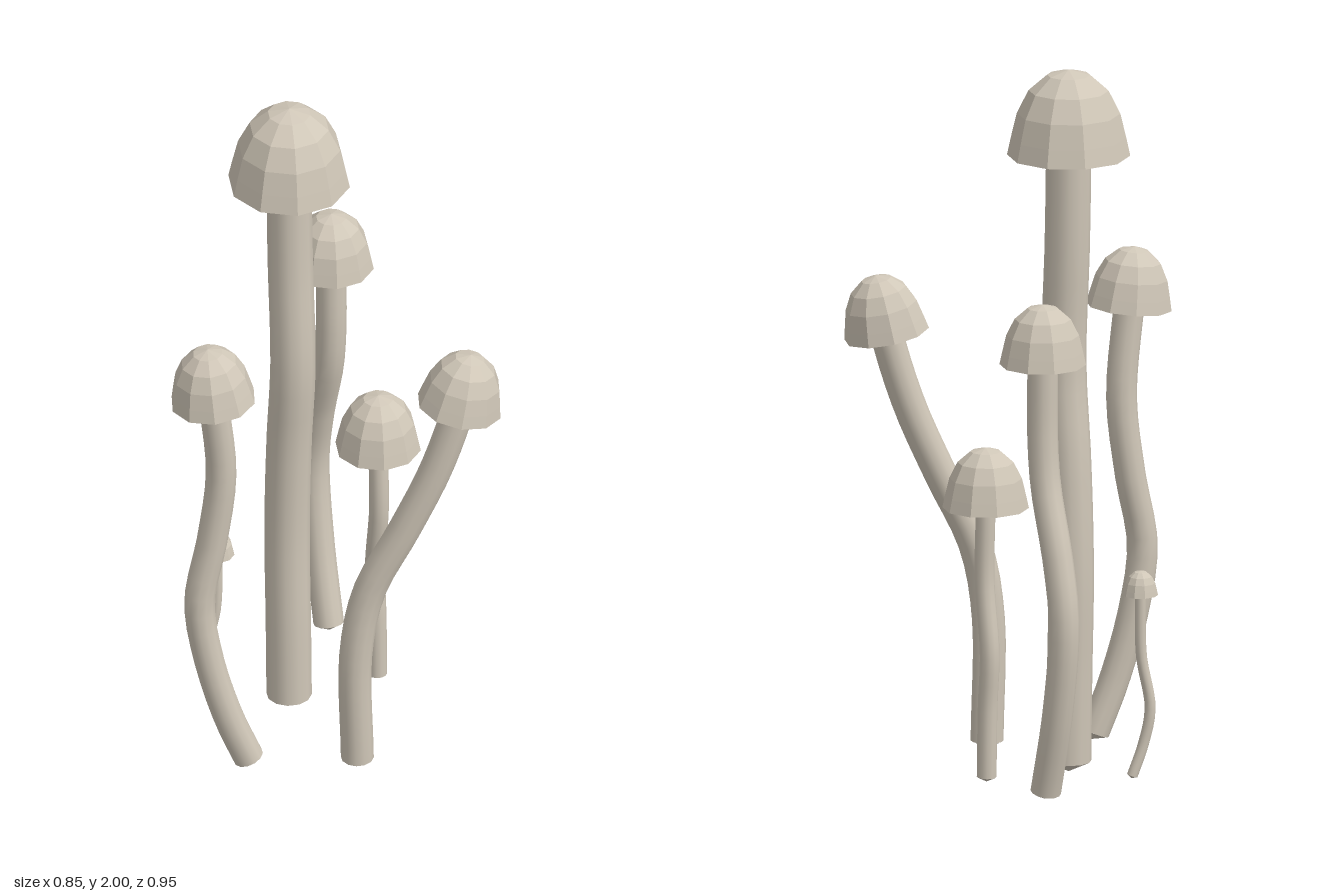
import * as THREE from 'three';
import { mergeGeometries } from 'three/addons/utils/BufferGeometryUtils.js';

const UP = new THREE.Vector3(0, 1, 0);

// Hollow ten-sided cap: inner roof down to the rim, then up the outside. [radius, height] in cap radii
const CAP_PROFILE = [
  [0, 1.26], [0.36, 1.18], [0.64, 0.92], [0.8, 0.58], [0.87, 0.25], [0.91, 0.03],
  [1, 0], [0.935, 0.3], [0.84, 0.7], [0.65, 1.08], [0.35, 1.34], [0, 1.43],
];

// path runs from the foot to the centre of the cap rim
const MUSHROOMS = [
  { name: 'tallMushroom', cap: 0.168, stem: 0.062, axis: [0, 1, 0], spin: 0,
    path: [[0.01, 0.06, -0.09], [0.01, 0.3, -0.095], [0.01, 0.6, -0.103], [0.01, 0.9, -0.09],
      [0.01, 1.17, -0.066], [0.01, 1.5, -0.083], [0.01, 1.76, -0.09]] },
  { name: 'leftMushroom', cap: 0.118, stem: 0.042, axis: [-0.09, 1, -0.03], spin: -0.1,
    path: [[-0.222, 0.06, 0.132], [-0.275, 0.2, 0.115], [-0.325, 0.4, 0.092], [-0.345, 0.58, 0.08],
      [-0.31, 0.78, 0.087], [-0.288, 1.0, 0.097], [-0.312, 1.25, 0.097]] },
  { name: 'backMushroom', cap: 0.118, stem: 0.042, axis: [0, 1, 0], spin: 0,
    path: [[0.255, 0.06, -0.345], [0.255, 0.3, -0.405], [0.255, 0.55, -0.435], [0.255, 0.72, -0.405],
      [0.255, 0.92, -0.345], [0.255, 1.05, -0.33], [0.255, 1.257, -0.33]] },
  { name: 'shortMushroom', cap: 0.118, stem: 0.027, axis: [0, 1, 0], spin: 0,
    path: [[0.275, 0.05, -0.085], [0.275, 0.25, -0.09], [0.275, 0.4, -0.1], [0.275, 0.6, -0.075],
      [0.275, 0.805, -0.08]] },
  { name: 'frontMushroom', cap: 0.118, stem: 0.045, axis: [0.185, 1, 0.055], spin: -0.09,
    path: [[0.05, 0.05, 0.25], [0.045, 0.4, 0.252], [0.08, 0.6, 0.263], [0.165, 0.8, 0.303],
      [0.245, 1.0, 0.338], [0.305, 1.205, 0.36]] },
  { name: 'tinyMushroom', cap: 0.048, stem: 0.015, axis: [0, 1, 0], spin: 0,
    path: [[-0.145, 0.012, -0.17], [-0.175, 0.1, -0.18], [-0.19, 0.2, -0.19], [-0.168, 0.35, -0.18],
      [-0.163, 0.52, -0.183]] },
];

// Faceted cap standing on its rim
function capGeometry(radius) {
  const points = CAP_PROFILE.map(([r, h]) => new THREE.Vector2(r * radius, h * radius));
  const geometry = new THREE.LatheGeometry(points, 10, Math.PI / 2).toNonIndexed();
  geometry.computeVertexNormals();
  return geometry;
}

// Smooth wavy stem with a blunt point at the foot, reaching up into the cap
function stemGeometry(path, radius, axis, reach) {
  const points = path.map((p) => new THREE.Vector3(...p));
  points.push(points[points.length - 1].clone().addScaledVector(axis, reach));
  const curve = new THREE.CatmullRomCurve3(points);
  const tube = new THREE.TubeGeometry(curve, 24, radius, 12, false);
  const down = curve.getTangentAt(0).negate();
  const tip = new THREE.ConeGeometry(radius, radius * 0.5, 12, 1, true);
  tip.translate(0, radius * 0.25, 0);
  tip.applyQuaternion(new THREE.Quaternion().setFromUnitVectors(UP, down));
  tip.translate(points[0].x, points[0].y, points[0].z);
  return mergeGeometries([tube, tip]);
}

export function createModel() {
  const model = new THREE.Group();
  model.name = 'mushroomCluster';
  const paleBeige = new THREE.MeshStandardMaterial({ color: 0xd0c7b8 });
  paleBeige.name = 'paleBeige';

  for (const m of MUSHROOMS) {
    const mushroom = new THREE.Group();
    mushroom.name = m.name;
    const axis = new THREE.Vector3(...m.axis).normalize();

    const stem = new THREE.Mesh(stemGeometry(m.path, m.stem, axis, m.cap * 1.2), paleBeige);
    stem.name = 'stem';

    const cap = new THREE.Mesh(capGeometry(m.cap), paleBeige);
    cap.name = 'cap';
    cap.position.set(...m.path[m.path.length - 1]);
    cap.quaternion.setFromUnitVectors(UP, axis);
    cap.rotateY(m.spin);

    mushroom.add(stem, cap);
    model.add(mushroom);
  }
  return model;
}
